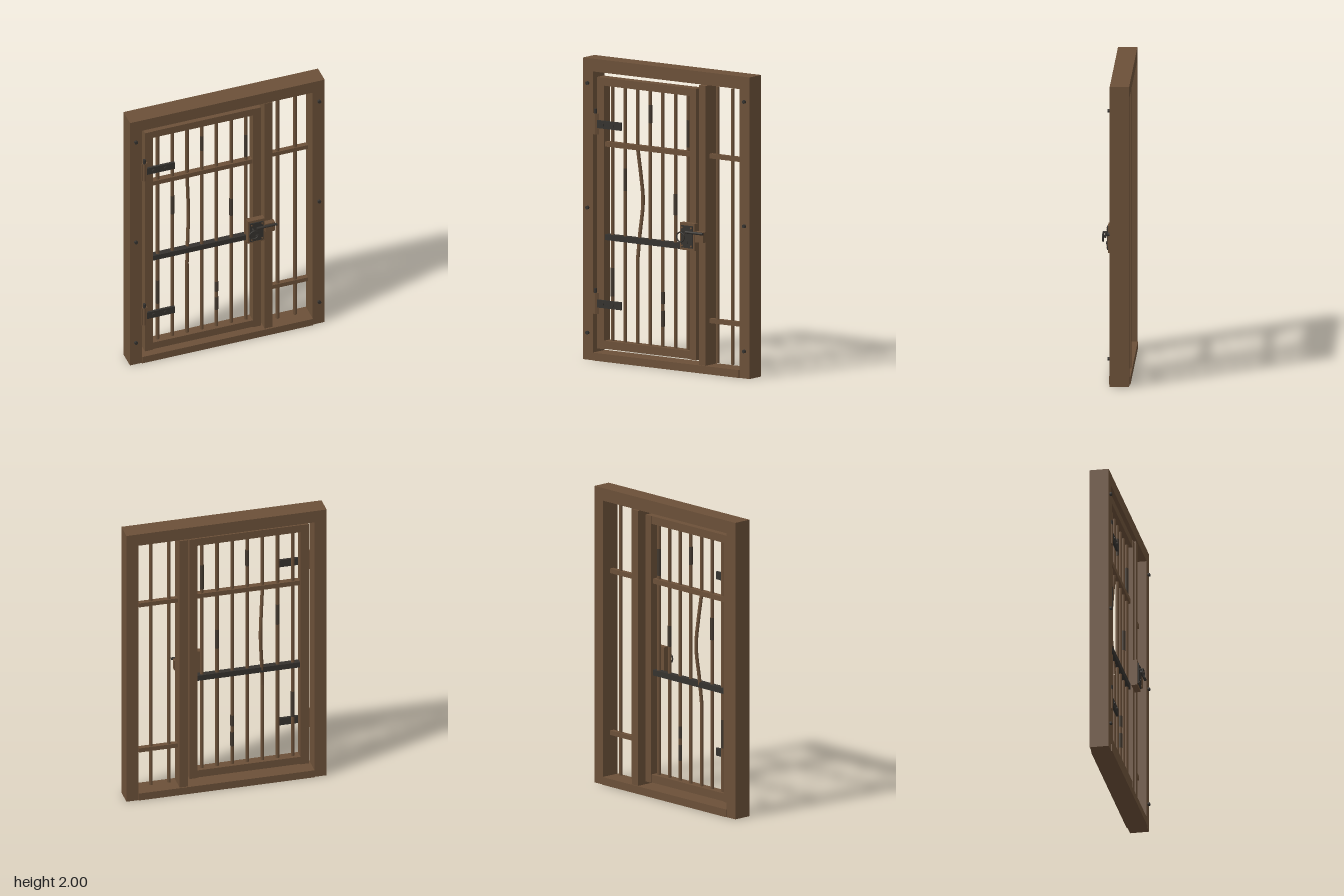
import * as THREE from 'three';

export function createModel() {
  const model = new THREE.Group();
  const brown = new THREE.MeshStandardMaterial({ color: 0x6b5038 });
  brown.name = 'rusty brown';
  const dark = new THREE.MeshStandardMaterial({ color: 0x35322e });
  dark.name = 'dark iron';
  const stain = new THREE.MeshStandardMaterial({ color: 0x43392f });
  stain.name = 'dark rust';

  function add(name, geometry, material, parent = model) {
    const mesh = new THREE.Mesh(geometry, material);
    mesh.name = name;
    parent.add(mesh);
    return mesh;
  }
  // Box given by its limits on each axis
  function box(name, x0, x1, y0, y1, z0, z1, material = brown, parent = model) {
    const mesh = add(name, new THREE.BoxGeometry(x1 - x0, y1 - y0, z1 - z0), material, parent);
    mesh.position.set((x0 + x1) / 2, (y0 + y1) / 2, (z0 + z1) / 2);
    return mesh;
  }
  // Upright round rod
  function rod(name, x, y0, y1, z, r, material = brown, parent = model) {
    const mesh = add(name, new THREE.CylinderGeometry(r, r, y1 - y0, 10), material, parent);
    mesh.position.set(x, (y0 + y1) / 2, z);
    return mesh;
  }
  // Round head facing forward
  function stud(name, x, y, z0, z1, r, material = dark, parent = model) {
    const mesh = add(name, new THREE.CylinderGeometry(r, r, z1 - z0, 10), material, parent);
    mesh.rotation.x = Math.PI / 2;
    mesh.position.set(x, y, (z0 + z1) / 2);
    return mesh;
  }

  // Outer frame
  for (const s of [-1, 1]) {
    const inner = s * 0.595, outer = s * 0.678;
    box('framePost', Math.min(inner, outer), Math.max(inner, outer), 0, 2, -0.097, 0.03);
    for (const y of [0.18, 1.01, 1.835]) stud('frameBolt', s * 0.638, y, 0.028, 0.044, 0.012);
  }
  box('topBeam', -0.595, 0.595, 1.915, 2, -0.097, 0.03);
  box('sill', -0.595, 0.595, 0, 0.052, -0.103, 0.037);
  box('mullion', 0.262, 0.317, 0.052, 1.907, -0.095, 0.025);

  // Fixed side grille
  const grille = new THREE.Group();
  grille.name = 'sideGrille';
  model.add(grille);
  for (const x of [0.373, 0.495]) rod('grilleBar', x, 0.07, 1.9, -0.033, 0.012, brown, grille);
  for (const y of [0.345, 1.437]) box('grilleRail', 0.317, 0.58, y - 0.015, y + 0.015, -0.05, -0.017, brown, grille);

  // Door frame
  const door = new THREE.Group();
  door.name = 'door';
  model.add(door);
  const barZ = -0.015;
  box('hingeStile', -0.57, -0.515, 0.08, 1.88, -0.05, 0.02, brown, door);
  box('lockStile', 0.183, 0.237, 0.08, 1.88, -0.05, 0.02, brown, door);
  box('doorTopRail', -0.515, 0.183, 1.827, 1.88, -0.048, 0.018, brown, door);
  box('doorBottomRail', -0.515, 0.183, 0.083, 0.136, -0.048, 0.018, brown, door);
  box('upperCrossbar', -0.515, 0.183, 1.422, 1.455, -0.035, 0.005, brown, door);
  box('lowerCrossbar', -0.515, 0.183, 0.802, 0.84, -0.035, 0.005, dark, door);

  // Door bars, the third one bent
  [-0.47, -0.367, -0.265, -0.162, -0.06, 0.043, 0.145].forEach((x, i) => {
    if (i !== 2) return rod('doorBar', x, 0.13, 1.83, barZ, 0.012, brown, door);
    rod('bentBarFoot', x, 0.13, 0.7, barZ, 0.012, brown, door);
    rod('bentBarHead', x, 1.43, 1.83, barZ, 0.012, brown, door);
    const bend = new THREE.CatmullRomCurve3([
      [x, 0.7, barZ], [x + 0.008, 0.86, barZ - 0.012], [x + 0.021, 1.08, barZ - 0.03],
      [x + 0.013, 1.25, barZ - 0.018], [x, 1.43, barZ],
    ].map((p) => new THREE.Vector3(...p)));
    add('bentBar', new THREE.TubeGeometry(bend, 14, 0.012, 10), brown, door);
  });

  // Rust sleeves on the bars: x, bottom, top
  for (const [x, y0, y1] of [
    [-0.47, 0.43, 0.62], [-0.367, 1.14, 1.29], [-0.162, 1.61, 1.73], [-0.06, 0.42, 0.5],
    [-0.06, 0.27, 0.375], [0.043, 1.02, 1.16], [0.145, 1.48, 1.66],
  ]) rod('rustPatch', x, y0, y1, barZ, 0.0128, stain, door);

  // Strap hinges
  for (const y of [0.38, 1.57]) {
    const hinge = new THREE.Group();
    hinge.name = 'hinge';
    model.add(hinge);
    box('hingePlate', -0.597, -0.557, y - 0.07, y + 0.07, 0.02, 0.032, brown, hinge);
    rod('hingeKnuckle', -0.578, y - 0.07, y + 0.07, 0.028, 0.012, brown, hinge);
    rod('hingePin', -0.578, y + 0.07, y + 0.1, 0.028, 0.01, dark, hinge);
    box('hingeStrap', -0.56, -0.367, y - 0.026, y + 0.026, 0.018, 0.034, dark, hinge);
    for (const x of [-0.515, -0.432]) stud('strapBolt', x, y, 0.03, 0.041, 0.011, dark, hinge);
  }

  // Lock case, bolt and keeper
  const lock = new THREE.Group();
  lock.name = 'lock';
  model.add(lock);
  box('lockCase', 0.133, 0.25, 0.81, 0.99, 0.02, 0.059, brown, lock);
  box('lockPlate', 0.145, 0.24, 0.826, 0.974, 0.058, 0.066, dark, lock);
  for (const x of [0.156, 0.229]) {
    for (const y of [0.84, 0.96]) stud('plateRivet', x, y, 0.064, 0.07, 0.006, brown, lock);
  }
  box('keeper', 0.257, 0.322, 0.87, 0.94, 0.025, 0.059, brown, lock);
  const bolt = stud('slidingBolt', 0.26, 0.932, -0.07, 0.07, 0.009, dark, lock);
  bolt.rotation.set(0, 0, Math.PI / 2);
  bolt.position.z = 0.073;

  // Pull ring and keyhole
  const ring = add('pullRing', new THREE.TorusGeometry(0.031, 0.0045, 8, 24), dark, lock);
  ring.position.set(0.163, 0.9, 0.094);
  stud('ringBoss', 0.163, 0.931, 0.064, 0.094, 0.006, dark, lock);
  stud('keyhole', 0.195, 0.865, 0.064, 0.072, 0.011, dark, lock);
  return model;
}
